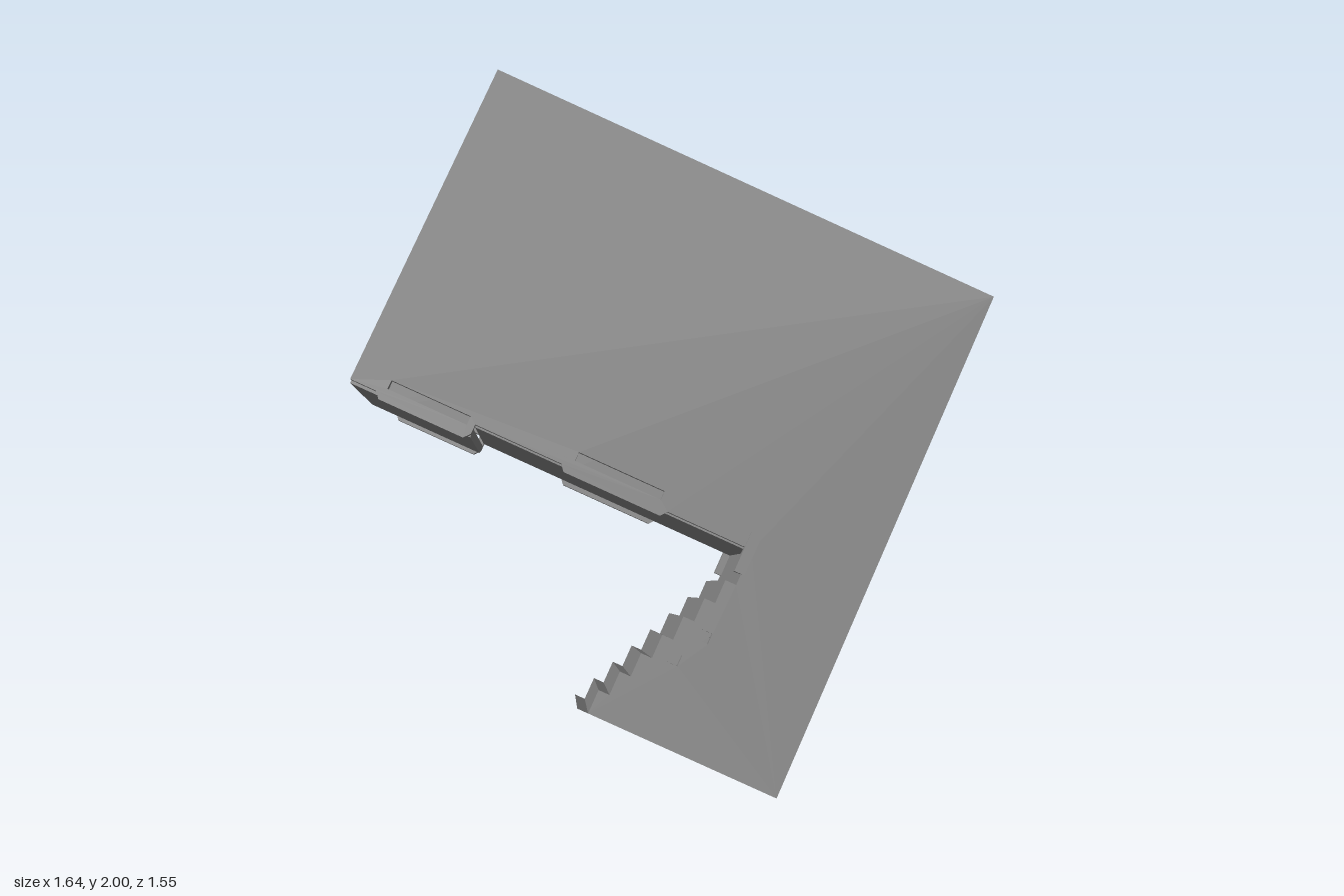
import * as THREE from 'three';

const WIDTH = 0.605;   // overall width across both walls
const T = 0.028;       // sheet thickness
const LEN = 1.479;     // length of the walls
const BOTTOM = -1.467; // foot of the walls
const STEPS = 8;

export function createModel() {
  const grey = new THREE.MeshStandardMaterial({ color: 0x808080 });
  grey.name = 'plain grey';

  const model = new THREE.Group();
  model.name = 'steppedHousing';

  const add = (name, geometry) => {
    const mesh = new THREE.Mesh(geometry, grey);
    mesh.name = name;
    model.add(mesh);
    return mesh;
  };

  // Extrudes a profile across the width, from w0 to w1
  const slab = (name, points, w0, w1, holes = []) => {
    const shape = new THREE.Shape(points.map(p => new THREE.Vector2(...p)));
    for (const [u0, u1, v0, v1] of holes) {
      shape.holes.push(new THREE.Path([[u0, v0], [u0, v1], [u1, v1], [u1, v0]]
        .map(p => new THREE.Vector2(...p))));
    }
    const g = new THREE.ExtrudeGeometry(shape, { depth: w1 - w0, bevelEnabled: false });
    g.translate(0, 0, w0);
    return add(name, g);
  };

  // Bar with a rectangular section
  const bar = (name, u0, u1, v0, v1, w0 = T - WIDTH, w1 = -T) => {
    const g = new THREE.BoxGeometry(u1 - u0, v1 - v0, w1 - w0);
    g.translate((u0 + u1) / 2, (v0 + v1) / 2, (w0 + w1) / 2);
    return add(name, g);
  };

  // Zigzag line of steps from the top point to the bottom point
  const zigzag = (u0, v0, u1, v1, n, runFirst) => {
    const pts = [[u0, v0]];
    const du = (u1 - u0) / n, dv = (v1 - v0) / n;
    for (let i = 0; i < n; i++) {
      const u = u0 + du * i, v = v0 + dv * i;
      pts.push(runFirst ? [u + du, v] : [u, v + dv], [u + du, v + dv]);
    }
    return pts;
  };

  const stepEdge = zigzag(1.155, -0.935, 0.905, BOTTOM, STEPS, false);

  // Side walls with slotted tabs, stepped notch and pin holes
  const wallOutline = [
    [0, 0], [0, -0.927], [0.075, -0.927], [0.09, -0.945], [0.335, -0.945], [0.35, -0.927],
    [0.35, -0.9], [0.6, -0.9], [0.615, -0.918], [0.895, -0.918], [0.91, -0.9],
    [1.155, -0.9], ...stepEdge, [LEN, BOTTOM], [LEN, 0],
  ];
  const wallHoles = [
    [0.1, 0.33, -0.91, -0.885],
    [0.63, 0.88, -0.878, -0.853],
    [1.07, 1.1, -1.26, -1.23],
    [1.12, 1.15, -1.175, -1.145],
  ];
  slab('rightWall', wallOutline, -T, 0, wallHoles);
  slab('leftWall', wallOutline, -WIDTH, T - WIDTH, wallHoles);

  // Upright tab at the inner corner of the notch, on both walls
  bar('rightCornerTab', 1.135, 1.165, -0.97, -0.855, -T, 0.006);
  bar('leftCornerTab', 1.135, 1.165, -0.97, -0.855, -WIDTH - 0.006, T - WIDTH);

  // Rear frame bar and the two-level floor
  bar('topBar', 0, 0.033, -0.03, 0);
  bar('rearFloor', 0, 0.35, -0.935, -0.912);
  bar('frontFloor', 0.35, 1.2, -0.905, -0.88);

  // Upright front panel over the stair body
  bar('frontPanel', 1.17, 1.2, -0.915, -0.83);

  // Stair body: steps behind, stepped underside in front
  const soffit = zigzag(1.215, -1.1, 0.985, BOTTOM, 7, true).reverse();
  slab('stairs', [[1.155, -0.905], ...stepEdge, ...soffit, [1.215, -0.915], [1.17, -0.915], [1.17, -0.905]],
    T - WIDTH, -T);

  // Tilt the whole housing into its resting pose
  const a = 0.592, b = 0.806, c = 0.643, s = 0.766;
  const basis = new THREE.Matrix4().makeBasis(
    new THREE.Vector3(s * a, -c * a, b),
    new THREE.Vector3(c, s, 0),
    new THREE.Vector3(-s * b, c * b, a));
  model.quaternion.setFromRotationMatrix(basis);
  model.position.set(-0.222, 2.0, -0.418);

  const root = new THREE.Group();
  root.name = 'model';
  root.add(model);
  return root;
}
